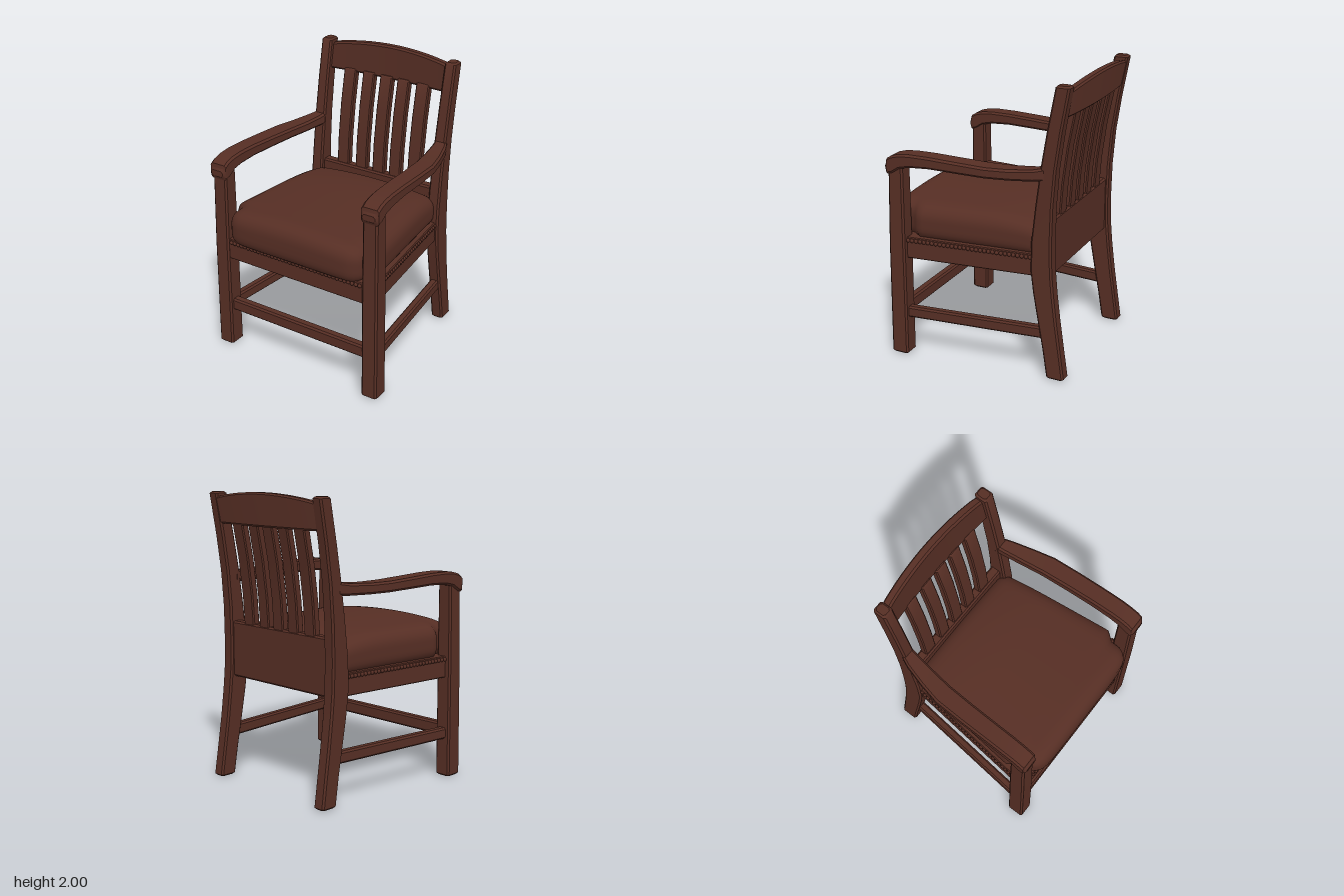
import * as THREE from 'three';
import { mergeVertices, toCreasedNormals } from 'three/addons/utils/BufferGeometryUtils.js';

const wood = new THREE.MeshStandardMaterial({ color: 0x562e24 });
wood.name = 'dark brown';

const X = 0, Y = 1, Z = 2;

// Bar along an axis through chamfered rectangles. Each section is
// [t, u0, u1, v0, v1], where u and v are the next two axes in x, y, z order.
function loft(axis, sections, bevel = 0.012) {
  const list = sections.map((s) => [...s]);
  const inset = (s) => [s[0], s[1] + bevel, s[2] - bevel, s[3] + bevel, s[4] - bevel];
  const first = inset(list[0]), last = inset(list[list.length - 1]);
  list[0][0] += bevel;
  list[list.length - 1][0] -= bevel;
  const rings = [first, ...list, last];

  const pos = [], index = [], n = 8, b = bevel;
  for (const [t, u0, u1, v0, v1] of rings) {
    const outline = [
      [u1, v0 + b], [u1, v1 - b], [u1 - b, v1], [u0 + b, v1],
      [u0, v1 - b], [u0, v0 + b], [u0 + b, v0], [u1 - b, v0],
    ];
    for (const [u, v] of outline) {
      const p = [0, 0, 0];
      p[axis] = t;
      p[(axis + 1) % 3] = u;
      p[(axis + 2) % 3] = v;
      pos.push(...p);
    }
  }
  for (let i = 0; i < rings.length - 1; i++) {
    for (let j = 0; j < n; j++) {
      const a = i * n + j, c = i * n + (j + 1) % n;
      index.push(a, c, c + n, a, c + n, a + n);
    }
  }
  const end = (rings.length - 1) * n;
  for (let j = 1; j < n - 1; j++) {
    index.push(0, j + 1, j, end, end + j, end + j + 1);
  }
  const g = new THREE.BufferGeometry();
  g.setAttribute('position', new THREE.Float32BufferAttribute(pos, 3));
  g.setIndex(index);
  return toCreasedNormals(g, 0.6);
}

// Sections mirrored across x = 0
function mirror(axis, sections) {
  return sections.map(([t, u0, u1, v0, v1]) =>
    axis === Z ? [t, -u1, -u0, v0, v1] : [t, u0, u1, -v1, -v0]);
}

// Moves every vertex by a rule
function bend(g, rule) {
  const p = g.attributes.position, v = new THREE.Vector3();
  for (let i = 0; i < p.count; i++) {
    rule(v.fromBufferAttribute(p, i));
    p.setXYZ(i, v.x, v.y, v.z);
  }
  return g;
}

// Half-width of the seat side at depth z
const sideX = (z) => THREE.MathUtils.mapLinear(z, -0.45, 0.5, 0.515, 0.615);

function cushionGeometry() {
  const half = new THREE.Vector3(0.5, 0.125, 0.54), r = 0.09;
  let g = new THREE.BoxGeometry(1, 0.25, 1.08, 28, 10, 32);
  g.deleteAttribute('uv');
  g.deleteAttribute('normal');
  g = mergeVertices(g);
  const inner = half.clone().subScalar(r), core = new THREE.Vector3();
  bend(g, (v) => {
    // round all edges
    core.copy(v).clamp(inner.clone().negate(), inner);
    v.sub(core);
    if (v.lengthSq() > 0) v.setLength(r);
    v.add(core);
    const nx = v.x / half.x, nz = v.z / half.z, up = (v.y + half.y) / 0.25;
    // front roll, crowned top and sides that widen to the front
    if (nz > 0.6) v.z += 0.03 * (nz - 0.6) / 0.4 * (1 - nx ** 6);
    v.z += 0.09;
    v.y += 0.955 + up * (0.035 * (1 - nx * nx) - 0.055 * Math.max(0, -nz) ** 3);
    const wide = sideX(v.z) - 0.015;
    v.x = nx * THREE.MathUtils.lerp(wide, 0.535, THREE.MathUtils.smoothstep(v.z, 0.42, 0.5));
  });
  g.computeVertexNormals();
  return g;
}

export function createModel() {
  const chair = new THREE.Group();
  chair.name = 'armchair';
  const add = (name, geometry) => {
    const m = new THREE.Mesh(geometry, wood);
    m.name = name;
    chair.add(m);
    return m;
  };
  const pair = (name, axis, sections, bevel) => {
    add('left' + name, loft(axis, sections, bevel));
    add('right' + name, loft(axis, mirror(axis, sections), bevel));
  };

  // Front legs, up to the arms
  pair('FrontLeg', Y, [[0, 0.495, 0.62, 0.545, 0.662], [0.8, 0.497, 0.617, 0.54, 0.655], [1.39, 0.5, 0.607, 0.537, 0.645]]);

  // Curved back legs that continue as back posts
  pair('BackPost', Y, [
    [0, -0.625, -0.5, 0.46, 0.55], [0.2, -0.597, -0.47, 0.458, 0.547],
    [0.4, -0.567, -0.433, 0.456, 0.545], [0.6, -0.542, -0.397, 0.455, 0.544],
    [0.75, -0.528, -0.378, 0.453, 0.543], [0.95, -0.522, -0.38, 0.452, 0.542],
    [1.2, -0.527, -0.407, 0.452, 0.54], [1.45, -0.546, -0.44, 0.453, 0.54],
    [1.7, -0.582, -0.482, 0.455, 0.54], [1.99, -0.632, -0.535, 0.457, 0.54],
  ]);

  // Arms, bowed outwards and rolled down at the front
  pair('Arm', Z, [
    [-0.48, 0.452, 0.54, 1.37, 1.457], [-0.4, 0.462, 0.568, 1.367, 1.445],
    [-0.25, 0.483, 0.61, 1.365, 1.437], [-0.1, 0.502, 0.643, 1.367, 1.439],
    [0.1, 0.514, 0.652, 1.371, 1.447], [0.3, 0.522, 0.657, 1.375, 1.455],
    [0.44, 0.526, 0.66, 1.366, 1.455], [0.52, 0.528, 0.66, 1.348, 1.447],
    [0.575, 0.529, 0.66, 1.312, 1.432], [0.61, 0.53, 0.659, 1.303, 1.41],
    [0.628, 0.532, 0.656, 1.315, 1.385],
  ], 0.014);

  // Seat frame, closed underneath, and upholstered cushion
  add('seatFrame', loft(Z, [
    [-0.49, -0.51, 0.51, 0.71, 0.86], [0.5, -0.615, 0.615, 0.71, 0.86],
    [0.51, -0.545, 0.545, 0.71, 0.86], [0.605, -0.545, 0.545, 0.71, 0.86],
  ], 0.006));
  add('cushion', cushionGeometry());

  // Nail trim along the front and both sides
  const nail = new THREE.SphereGeometry(0.014, 8, 6);
  const nails = new THREE.Group();
  nails.name = 'nailTrim';
  const addNail = (x, z) => {
    const m = new THREE.Mesh(nail, wood);
    m.name = 'nail';
    m.position.set(x, 0.838, z);
    nails.add(m);
  };
  for (let i = 0; i <= 36; i++) addNail(-0.52 + i * 1.04 / 36, 0.605);
  for (let i = 0; i <= 30; i++) {
    const z = -0.37 + i * 0.86 / 30;
    for (const s of [-1, 1]) addNail(s * sideX(z), z);
  }
  chair.add(nails);

  // Stretchers
  add('frontStretcher', loft(X, [[-0.56, 0.28, 0.37, 0.525, 0.59], [0.56, 0.28, 0.37, 0.525, 0.59]]));
  pair('SideStretcher', Z, [[-0.48, 0.47, 0.53, 0.275, 0.357], [0.52, 0.57, 0.63, 0.272, 0.352]]);

  // Back rail behind the seat
  add('backRail', loft(X, [[-0.48, 0.71, 1.1, -0.505, -0.43], [0.48, 0.71, 1.1, -0.505, -0.43]]));

  // Crest rail, bowed up and back, leaning with the posts
  const crest = [];
  for (let i = 0; i <= 16; i++) {
    const x = -0.48 + i * 0.06, k = 1 - (x / 0.48) ** 2;
    crest.push([x, 1.775, 1.955 + 0.045 * k, -0.59 - 0.025 * k, -0.53 - 0.022 * k]);
  }
  add('crestRail', bend(loft(X, crest), (v) => { v.z -= 0.2 * (v.y - 1.775); }));

  // Five slats
  for (const [x, w] of [[-0.3, 0.1], [-0.145, 0.095], [0, 0.098], [0.138, 0.095], [0.293, 0.103]]) {
    add('slat', loft(Y, [
      [1.07, -0.5, -0.445, x - w / 2, x + w / 2], [1.3, -0.515, -0.46, x - w / 2, x + w / 2],
      [1.55, -0.548, -0.493, x - w / 2, x + w / 2], [1.8, -0.595, -0.54, x - w / 2, x + w / 2],
    ], 0.008));
  }
  return chair;
}
